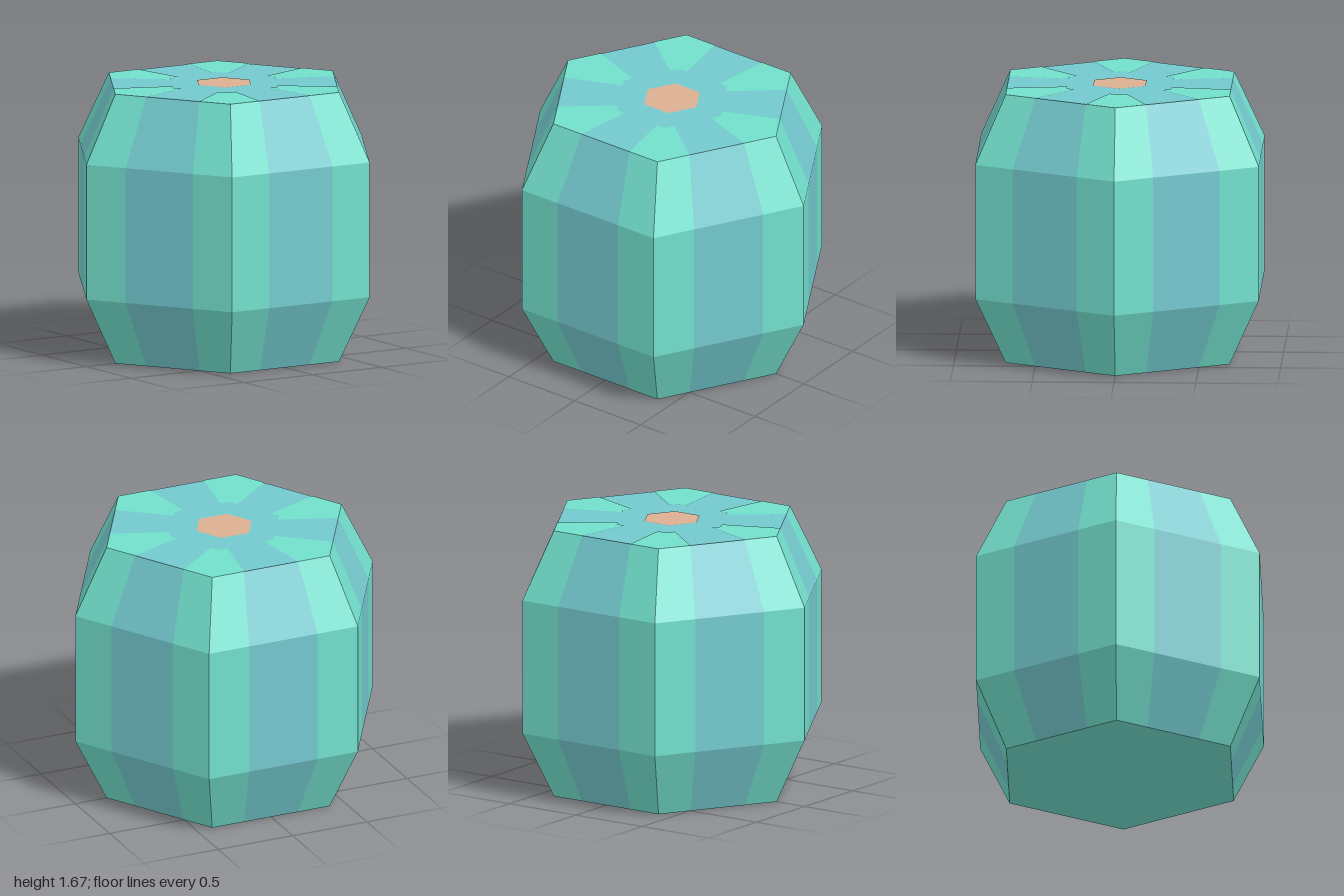
import * as THREE from 'three';

const SIDES = 6;
// Height and corner radius of each ring, from the base up
const RINGS = [[0, 0.79], [0.415, 1], [1.25, 1], [1.668, 0.79]];
// Where each face is divided into border, stripe, border
const CUTS = [0, 0.27, 0.73, 1];

function corner(i, r, y) {
  const a = (i / SIDES) * Math.PI * 2;
  return new THREE.Vector3(r * Math.cos(a), y, r * Math.sin(a));
}

// One column of flat panels on every face, between two cuts
function columns(cutIndexes) {
  const pos = [];
  for (let i = 0; i < SIDES; i++) {
    for (let k = 0; k < RINGS.length - 1; k++) {
      const at = (ring, t) => {
        const [y, r] = RINGS[ring];
        return corner(i, r, y).lerp(corner(i + 1, r, y), t);
      };
      for (const c of cutIndexes) {
        const bl = at(k, CUTS[c + 1]), br = at(k, CUTS[c]);
        const tl = at(k + 1, CUTS[c + 1]), tr = at(k + 1, CUTS[c]);
        for (const p of [bl, br, tr, bl, tr, tl]) pos.push(p.x, p.y, p.z);
      }
    }
  }
  const geo = new THREE.BufferGeometry();
  geo.setAttribute('position', new THREE.Float32BufferAttribute(pos, 3));
  geo.computeVertexNormals();
  return geo;
}

// Flat horizontal polygon facing up, from [x, z] points
function flat(points, y) {
  const shape = new THREE.Shape(points.map(([x, z]) => new THREE.Vector2(x, -z)));
  return new THREE.ShapeGeometry(shape).rotateX(-Math.PI / 2).translate(0, y, 0);
}

function hexagon(r) {
  return Array.from({ length: SIDES }, (_, i) => {
    const p = corner(i, r, 0);
    return [p.x, p.z];
  });
}

export function createModel() {
  const green = new THREE.MeshStandardMaterial({ color: 0x72dfcc });
  green.name = 'mint green';
  const blue = new THREE.MeshStandardMaterial({ color: 0x73c9ce });
  blue.name = 'soft blue';
  const orange = new THREE.MeshStandardMaterial({ color: 0xdcb092 });
  orange.name = 'pale orange';

  const model = new THREE.Group();
  model.name = 'hexagonalBarrel';
  const add = (name, geo, mat) => {
    const mesh = new THREE.Mesh(geo, mat);
    mesh.name = name;
    model.add(mesh);
    return mesh;
  };

  // Barrel sides: green corner borders and blue centre stripes
  add('cornerBorders', columns([0, 2]), green);
  add('sideStripes', columns([1]), blue);

  // Base and top caps
  const [topY, topR] = RINGS[3];
  add('base', flat(hexagon(RINGS[0][1]), 0).rotateX(Math.PI), green);
  add('topStar', flat(hexagon(topR), topY - 0.003), blue);

  // Green wedges reaching in from each top corner, with notched tips
  const sideA = corner(0, topR, 0).lerp(corner(1, topR, 0), CUTS[1]);
  const wedge = [
    [topR, 0], [sideA.x, sideA.z], [0.385, 0.07], [0.34, 0.05],
    [0.367, 0], [0.34, -0.05], [0.385, -0.07], [sideA.x, -sideA.z],
  ];
  for (let i = 0; i < SIDES; i++) {
    add('topWedge' + (i + 1), flat(wedge, topY), green).rotation.y = (i * Math.PI) / 3;
  }

  // Small centre plate
  add('centrePlate', flat(hexagon(0.185), topY), orange);
  return model;
}
